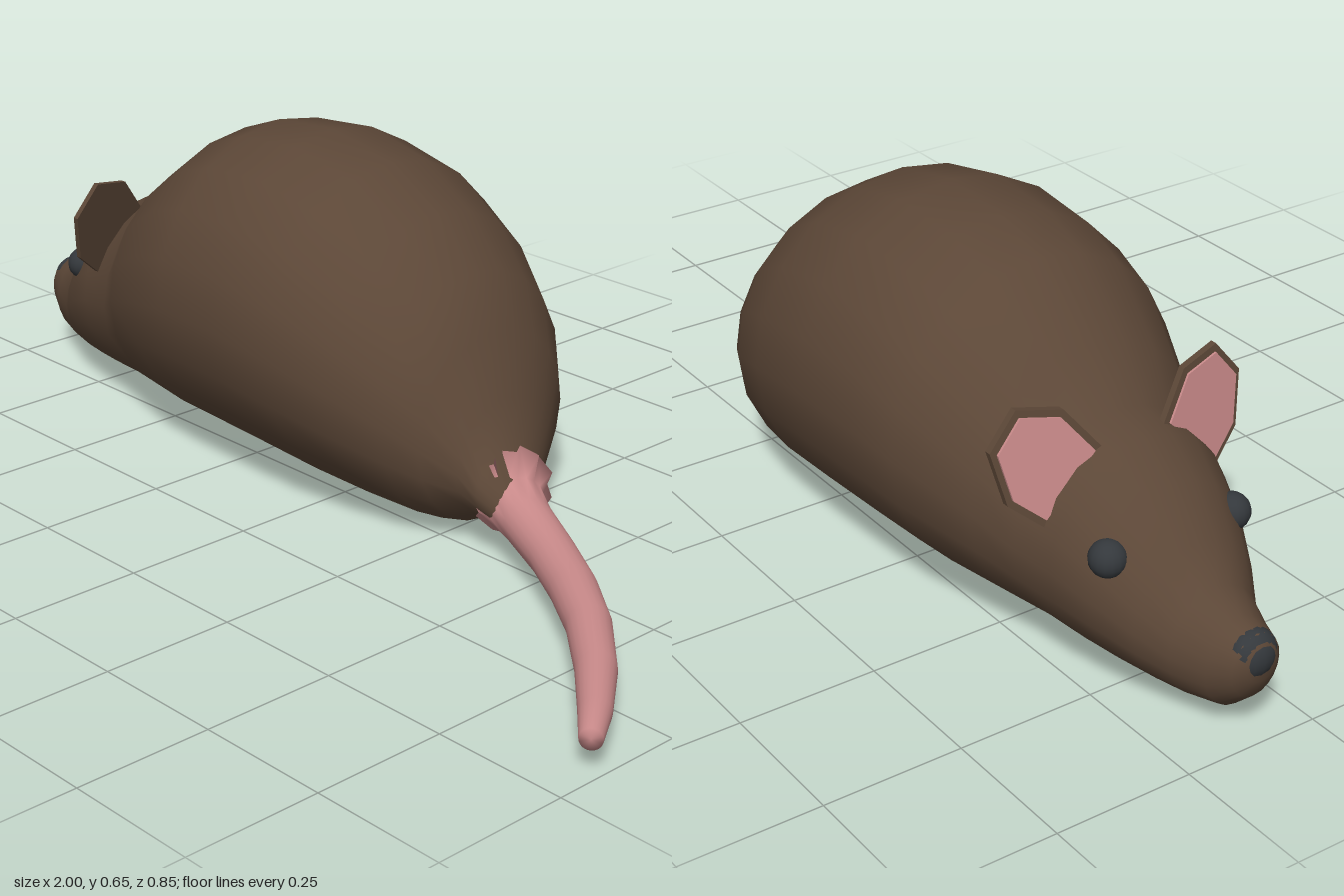
import * as THREE from 'three';

const BROWN = 0x5c4737, PINK = 0xc98a8a, DARK = 0x34383c;
const MID = -0.11; // z of the body's plane of symmetry

function add(group, name, geometry, color, side = THREE.FrontSide) {
  const mesh = new THREE.Mesh(geometry, new THREE.MeshStandardMaterial({ color, side }));
  mesh.name = name;
  group.add(mesh);
  return mesh;
}

// Smooth skin through elliptical rings {x, y, z, w, h, yaw}, running towards +x, capped at both ends.
// zigzag pushes every second corner of the first ring along the path.
function loft(rings, sides, zigzag = 0) {
  const pos = [], index = [];
  rings.forEach((r, i) => {
    const yaw = r.yaw || 0;
    for (let j = 0; j < sides; j++) {
      const a = (j / sides) * Math.PI * 2;
      const across = Math.cos(a) * r.w;
      const along = i === 0 && j % 2 ? zigzag : 0;
      pos.push(
        r.x - Math.sin(yaw) * across + Math.cos(yaw) * along,
        r.y + Math.sin(a) * r.h,
        r.z + Math.cos(yaw) * across + Math.sin(yaw) * along
      );
    }
  });
  for (let i = 0; i < rings.length - 1; i++) {
    for (let j = 0; j < sides; j++) {
      const a = i * sides + j, b = i * sides + ((j + 1) % sides);
      index.push(a, a + sides, b, b, a + sides, b + sides);
    }
  }
  const first = rings[0], last = rings[rings.length - 1];
  const c0 = pos.length / 3, c1 = c0 + 1, end = (rings.length - 1) * sides;
  pos.push(first.x, first.y, first.z, last.x, last.y, last.z);
  for (let j = 0; j < sides; j++) {
    const k = (j + 1) % sides;
    index.push(c0, j, k, c1, end + k, end + j);
  }
  const g = new THREE.BufferGeometry();
  g.setAttribute('position', new THREE.Float32BufferAttribute(pos, 3));
  g.setIndex(index);
  g.computeVertexNormals();
  return g;
}

// Thin ear plate in (outward, up), then leaned back and swept outwards.
function earGeometry(side, scale, thickness, shift) {
  const outline = [[0.06, 0.39], [0.12, 0.465], [0.2, 0.48], [0.25, 0.42], [0.23, 0.33], [0.17, 0.28]];
  const shape = new THREE.Shape(outline.map(([u, v]) =>
    new THREE.Vector2(0.17 + (u - 0.17) * scale, 0.39 + (v - 0.39) * scale)));
  const g = new THREE.ExtrudeGeometry(shape, { depth: thickness, bevelEnabled: false });
  const p = g.attributes.position;
  for (let i = 0; i < p.count; i++) {
    const u = p.getX(i), v = p.getY(i), d = p.getZ(i) - thickness / 2;
    const x = -0.642 + 0.2 * (v - 0.38) + 0.18 * (u - 0.155) + shift - side * d;
    p.setXYZ(i, x, v, MID + side * u);
  }
  g.computeVertexNormals();
  return g;
}

export function createModel() {
  const model = new THREE.Group();
  model.name = 'rodent';

  // Head and body: x, bottom, top, half width, centre z
  const body = [
    [-0.995, 0.115, 0.18, 0.03], [-0.98, 0.08, 0.193, 0.048], [-0.94, 0.042, 0.203, 0.066],
    [-0.88, 0.03, 0.225, 0.09], [-0.83, 0.03, 0.28, 0.122], [-0.76, 0.03, 0.35, 0.157],
    [-0.69, 0.03, 0.4, 0.182], [-0.61, 0.03, 0.415, 0.195], [-0.54, 0.03, 0.5, 0.232],
    [-0.4, 0.028, 0.6, 0.289], [-0.3, 0.027, 0.637, 0.306], [-0.15, 0.022, 0.65, 0.315],
    [0, 0.013, 0.618, 0.307], [0.12, 0.005, 0.55, 0.275], [0.22, 0.002, 0.465, 0.228, -0.105],
    [0.275, 0.015, 0.37, 0.182, -0.1], [0.325, 0.045, 0.265, 0.122, -0.082],
    [0.365, 0.057, 0.19, 0.085, -0.055], [0.41, 0.057, 0.145, 0.048, -0.032]
  ];
  add(model, 'body', loft(body.map(([x, lo, hi, w, z = MID]) =>
    ({ x, y: (lo + hi) / 2, z, w, h: (hi - lo) / 2 })), 20), BROWN);

  // Tail: x, y, z, radius, yaw; its root overlaps the rump with a zigzag edge
  const tail = [
    [0.36, 0.116, -0.055, 0.077, 0.3], [0.405, 0.1, -0.033, 0.053, 0.38], [0.45, 0.088, -0.015, 0.046, 0.42],
    [0.55, 0.075, 0.03, 0.042, 0.5], [0.65, 0.071, 0.09, 0.041, 0.6], [0.75, 0.067, 0.163, 0.038, 0.72],
    [0.85, 0.062, 0.258, 0.034, 0.82], [0.93, 0.057, 0.35, 0.027, 0.9], [0.98, 0.057, 0.415, 0.019, 0.95]
  ];
  add(model, 'tail', loft(tail.map(([x, y, z, r, yaw]) =>
    ({ x, y, z, w: r, h: r, yaw })), 20, 0.03), PINK, THREE.DoubleSide);

  // Nose tip
  const nose = add(model, 'nose', new THREE.SphereGeometry(1, 16, 12), DARK);
  nose.scale.set(0.035, 0.044, 0.046);
  nose.position.set(-0.967, 0.152, MID);

  // Ears and eyes, one of each per side
  for (const side of [-1, 1]) {
    const label = side > 0 ? 'near' : 'far';
    add(model, label + 'Ear', earGeometry(side, 1, 0.012, 0), BROWN);
    add(model, label + 'InnerEar', earGeometry(side, 0.86, 0.008, -0.006), PINK);
    const eye = add(model, label + 'Eye', new THREE.SphereGeometry(0.032, 16, 12), DARK);
    eye.position.set(-0.765, 0.262, MID + side * 0.125);
  }
  return model;
}
